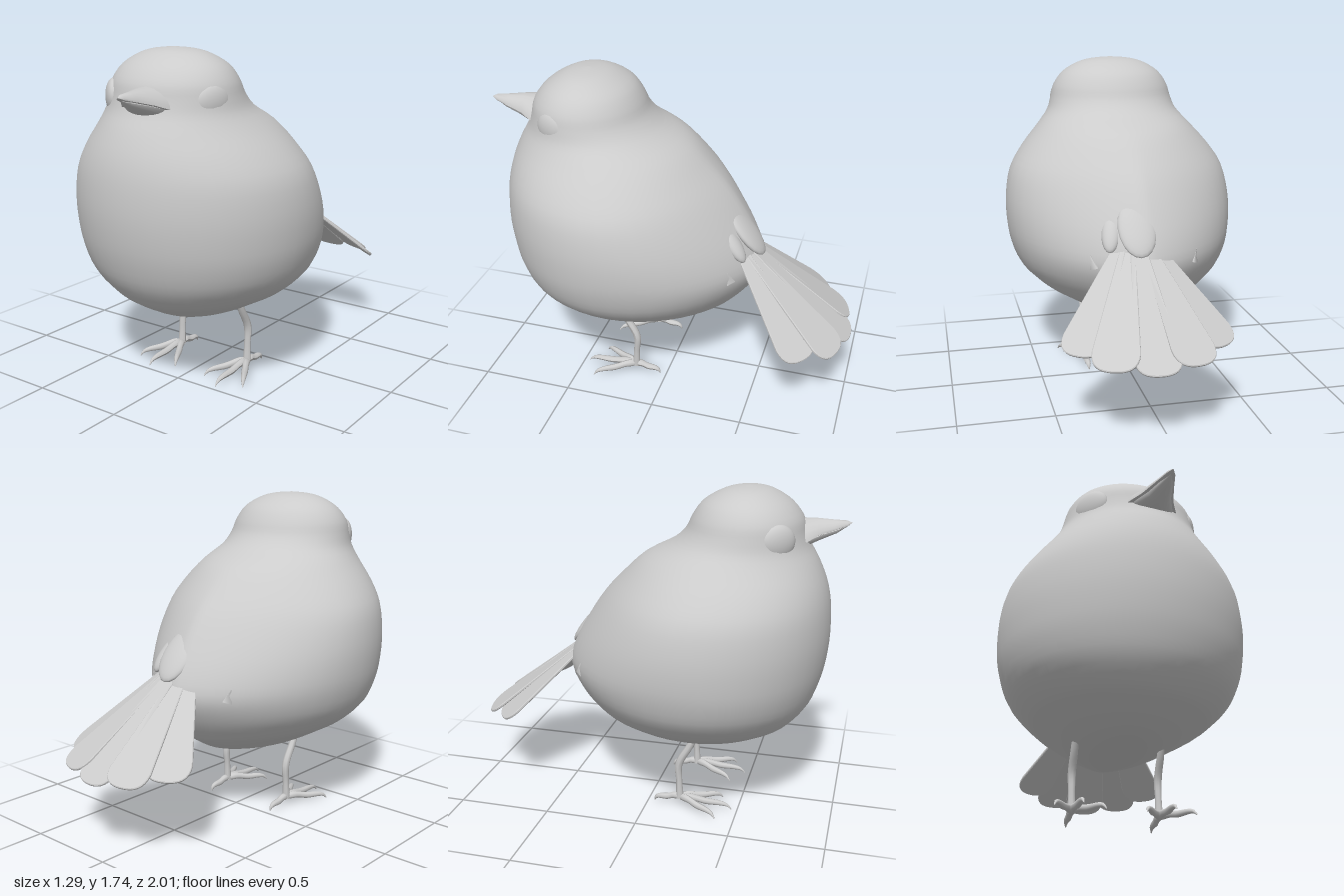
import * as THREE from 'three';
import { toCreasedNormals } from 'three/addons/utils/BufferGeometryUtils.js';

const grey = new THREE.MeshStandardMaterial({ color: 0xcccccc });
const V = (x, y, z) => new THREE.Vector3(x, y, z);

function add(parent, name, geometry) {
  const mesh = new THREE.Mesh(geometry, grey);
  mesh.name = name;
  parent.add(mesh);
  return mesh;
}

// Skin a stack of closed rings, each an array of points
function loft(rings) {
  const n = rings[0].length, index = [];
  for (let i = 0; i < rings.length - 1; i++) {
    for (let j = 0; j < n; j++) {
      const a = i * n + j, b = i * n + (j + 1) % n;
      index.push(a, a + n, b, b, a + n, b + n);
    }
  }
  const g = new THREE.BufferGeometry().setFromPoints(rings.flat());
  g.setIndex(index);
  g.computeVertexNormals();
  return g;
}

// Tube through points whose radius follows a list
function taperedTube(points, radii, segments = 14, sides = 8) {
  const curve = new THREE.CatmullRomCurve3(points);
  const g = new THREE.TubeGeometry(curve, segments, 1, sides);
  const pos = g.attributes.position, v = V();
  for (let i = 0; i < pos.count; i++) {
    const t = Math.floor(i / (sides + 1)) / segments;
    const f = t * (radii.length - 1), k = Math.min(Math.floor(f), radii.length - 2);
    const r = THREE.MathUtils.lerp(radii[k], radii[k + 1], f - k);
    const p = curve.getPointAt(t);
    v.fromBufferAttribute(pos, i).sub(p).multiplyScalar(r).add(p);
    pos.setXYZ(i, v.x, v.y, v.z);
  }
  g.computeVertexNormals();
  return g;
}

// Body and head: height, half width, front z, back z, z of the widest point
function bodyGeometry() {
  const rows = [
    [0.337, 0, 0.22, 0.22, 0.22], [0.355, 0.13, 0.43, -0.03, 0.22], [0.39, 0.24, 0.56, -0.17, 0.23],
    [0.465, 0.38, 0.70, -0.31, 0.25], [0.52, 0.47, 0.77, -0.37, 0.26], [0.62, 0.57, 0.845, -0.45, 0.27],
    [0.74, 0.62, 0.89, -0.505, 0.28], [0.86, 0.64, 0.915, -0.475, 0.28], [1.0, 0.64, 0.927, -0.4, 0.29],
    [1.15, 0.61, 0.92, -0.3, 0.31], [1.27, 0.535, 0.895, -0.19, 0.34], [1.38, 0.44, 0.85, -0.07, 0.38],
    [1.46, 0.375, 0.805, 0.08, 0.44], [1.53, 0.35, 0.78, 0.155, 0.47], [1.6, 0.33, 0.76, 0.19, 0.48],
    [1.67, 0.28, 0.705, 0.24, 0.48], [1.72, 0.2, 0.63, 0.32, 0.48], [1.745, 0.115, 0.565, 0.39, 0.48],
    [1.755, 0, 0.48, 0.48, 0.48],
  ];
  const spline = k => new THREE.SplineCurve(rows.map(r => new THREE.Vector2(r[0], r[k])));
  const [width, front, back, mid] = [1, 2, 3, 4].map(spline);
  const rings = [], steps = 54, sides = 48;
  for (let i = 0; i <= steps; i++) {
    const t = i / steps, { x: y, y: w } = width.getPoint(t);
    const zf = front.getPoint(t).y, zb = back.getPoint(t).y, zc = mid.getPoint(t).y;
    // The back half narrows toward the tail, the head stays round
    const point = 1 + 0.4 * (1 - THREE.MathUtils.smoothstep(y, 1.1, 1.5));
    rings.push(Array.from({ length: sides }, (_, j) => {
      const a = j / sides * Math.PI * 2, c = Math.cos(a), s = Math.sin(a);
      const x = Math.sign(c) * Math.abs(c) ** (s < 0 ? point : 1) * w;
      return V(x, y, zc + s * (s > 0 ? zf - zc : zc - zb));
    }));
  }
  return loft(rings);
}

// Half of the beak: z, half width, edge height, rise above and drop below it
function mandible(rows) {
  const n = 20;
  const rings = rows.map(([z, w, y, up, down]) => Array.from({ length: n }, (_, j) => {
    const a = -j / n * Math.PI * 2, s = Math.sin(a);
    return V(Math.cos(a) * w, y + (s > 0 ? up * s ** 1.4 : down * s), z);
  }));
  return toCreasedNormals(loft(rings), 0.9);
}

// Flat feather with a rounded tip, lying from base to tip
function feather(base, tip, side, halfTip) {
  const dir = tip.clone().sub(base), len = dir.length();
  dir.normalize();
  const normal = side.clone().cross(dir).normalize();
  const across = dir.clone().cross(normal);
  const s = new THREE.Shape();
  s.moveTo(-0.03, 0);
  s.lineTo(-halfTip, len - 0.1);
  s.bezierCurveTo(-halfTip, len - 0.02, -halfTip * 0.6, len, 0, len);
  s.bezierCurveTo(halfTip * 0.6, len, halfTip, len - 0.02, halfTip, len - 0.1);
  s.lineTo(0.03, 0);
  const g = new THREE.ExtrudeGeometry(s, {
    depth: 0.008, bevelThickness: 0.004, bevelSize: 0.004, bevelSegments: 1, curveSegments: 8,
  });
  return g.applyMatrix4(new THREE.Matrix4().makeBasis(across, dir, normal).setPosition(base));
}

function makeLeg(sign) {
  const leg = new THREE.Group();
  leg.name = sign > 0 ? 'leftLeg' : 'rightLeg';
  leg.position.set(sign * 0.224, 0, 0.18);
  add(leg, 'shank', taperedTube(
    [V(0, 0.42, 0.08), V(0, 0.36, 0.05), V(0, 0.25, -0.008), V(0, 0.15, -0.005), V(0, 0.045, 0)],
    [0.018, 0.02, 0.021, 0.017, 0.022]));
  // Three toes forward and one back: x, z of the claw tip
  for (const [x, z] of [[0, 0.29], [0.125, 0.22], [-0.125, 0.22], [0, -0.145]]) {
    const at = (k, y) => V(x * k, y, z * k);
    add(leg, 'toe', taperedTube(
      [at(-0.04, 0.05), at(0.2, 0.058), at(0.5, 0.045), at(0.8, 0.042), at(0.92, 0.034), at(1, 0.012)],
      [0.012, 0.021, 0.017, 0.018, 0.016, 0.012, 0.002], 16));
  }
  return leg;
}

export function createModel() {
  const bird = new THREE.Group();
  bird.name = 'bird';
  add(bird, 'body', bodyGeometry());

  // Face, turned slightly to the left
  const face = new THREE.Group();
  face.name = 'face';
  face.position.z = 0.47;
  face.rotation.y = 0.17;
  bird.add(face);
  for (const sign of [1, -1]) {
    const eye = add(face, sign > 0 ? 'leftEye' : 'rightEye', new THREE.SphereGeometry(1, 28, 18));
    eye.scale.set(0.1, 0.09, 0.045);
    eye.position.set(sign * 0.27, 1.515, 0.147);
    eye.rotation.y = sign * 1.04;
  }
  add(face, 'upperBeak', mandible([
    [0.22, 0.145, 1.485, 0.12, 0.005], [0.30, 0.135, 1.49, 0.1, 0.005], [0.36, 0.088, 1.515, 0.075, 0.005],
    [0.44, 0.052, 1.537, 0.046, 0.005], [0.51, 0.024, 1.555, 0.024, 0.005], [0.537, 0, 1.567, 0, 0]]));
  add(face, 'lowerBeak', mandible([
    [0.22, 0.125, 1.485, 0.01, 0.045], [0.30, 0.115, 1.49, 0.01, 0.042], [0.38, 0.065, 1.515, 0.01, 0.035],
    [0.46, 0.034, 1.535, 0.008, 0.022], [0.515, 0, 1.55, 0, 0]]));

  // Fanned tail: feather tips from right to left
  const tail = new THREE.Group();
  tail.name = 'tail';
  bird.add(tail);
  const tips = [V(-0.28, 0.45, -0.83), V(-0.12, 0.42, -0.965), V(0.08, 0.4, -1), V(0.29, 0.42, -0.95), V(0.43, 0.45, -0.8)];
  tips.forEach((tip, i) => {
    const side = tips[Math.min(i + 1, 4)].clone().sub(tips[Math.max(i - 1, 0)]);
    const base = V(0.05 + (i - 2) * 0.04, 0.885 - Math.abs(i - 2) * 0.012, -0.39);
    add(tail, 'tailFeather', feather(base, tip, side, 0.112));
  });

  // Covert feathers over the tail root
  const coverts = [[0.05, 0.95, -0.4, 0.1, 0.165, 0], [-0.085, 0.93, -0.355, 0.05, 0.12, 0.3], [0.175, 0.93, -0.355, 0.05, 0.12, -0.3]];
  for (const [x, y, z, w, length, yaw] of coverts) {
    const covert = add(bird, 'covertFeather', new THREE.SphereGeometry(1, 20, 14));
    covert.scale.set(w, 0.035, length);
    covert.position.set(x, y, z);
    covert.rotation.set(-0.88, yaw, 0, 'YXZ');
  }

  // Small tufts under the tail root
  for (const sign of [1, -1]) {
    const tuft = add(bird, 'tuft', new THREE.ConeGeometry(0.035, 0.07, 4));
    tuft.position.set(sign * 0.27, 0.78, -0.36);
    tuft.rotation.z = -sign * 0.4;
  }

  bird.add(makeLeg(1), makeLeg(-1));
  return bird;
}
